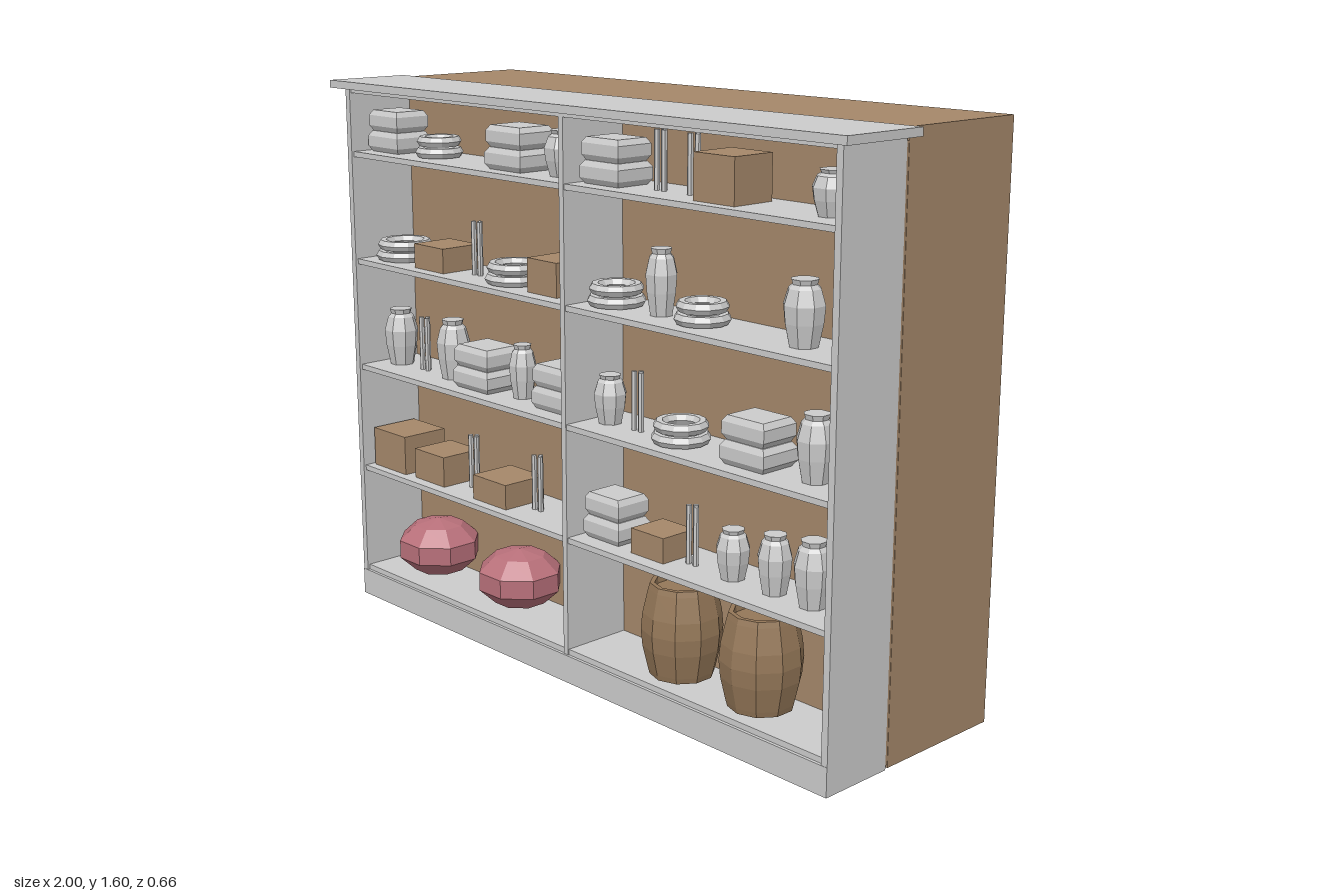
import * as THREE from 'three';

const mat = (color) => new THREE.MeshStandardMaterial({ color, flatShading: true });

export function createModel() {
  const root = new THREE.Group();
  root.name = 'stockedShelf';
  const grey = mat(0xcccccc), brown = mat(0xa5886a), barrelWood = mat(0x947758), red = mat(0xb8707a);
  const itemZ = 0.19;

  const add = (name, geo, material, x = 0, y = 0, z = 0, parent = root) => {
    const mesh = new THREE.Mesh(geo, material);
    mesh.name = name;
    mesh.position.set(x, y, z);
    parent.add(mesh);
    return mesh;
  };
  // Box given by its extents
  const board = (name, material, x0, x1, y0, y1, z0, z1) =>
    add(name, new THREE.BoxGeometry(x1 - x0, y1 - y0, z1 - z0), material,
      (x0 + x1) / 2, (y0 + y1) / 2, (z0 + z1) / 2);
  // Turned shape from [radius, height] pairs, scaled by r and h
  const turned = (pairs, sides, r, h, phase = 0) =>
    new THREE.LatheGeometry(pairs.map(([a, b]) => new THREE.Vector2(a * r, b * h)), sides, phase);

  // Rear block and back panel
  board('rearBlock', brown, -0.965, 0.965, 0.003, 1.6, -0.33, 0.07);
  board('backPanel', brown, -0.964, 0.964, 0.012, 1.568, 0.07, 0.085);

  // Case: sides, divider, plinth, top and crown
  for (const s of [-1, 1]) {
    board(s > 0 ? 'leftSide' : 'rightSide', grey, s * 0.955 - 0.01, s * 0.955 + 0.01, 0, 1.58, 0.078, 0.3);
  }
  board('divider', grey, -0.009, 0.009, 0.003, 1.566, 0.085, 0.295);
  board('plinth', grey, -0.965, 0.965, 0, 0.08, 0.285, 0.301);
  board('topBoard', grey, -0.945, 0.945, 1.566, 1.58, 0.085, 0.295);
  board('crown', grey, -1, 1, 1.58, 1.602, 0.065, 0.33);

  // Shelves, bottom to top
  const levels = [0.096, 0.422, 0.743, 1.07, 1.393];
  for (const y of levels) board('shelf', grey, -0.945, 0.945, y - 0.016, y, 0.085, 0.292);

  // Goods: each maker takes centre x, base y, width and height
  const makers = {
    jar(x, y, w, h) {
      const profile = [[0, 0], [0.72, 0], [0.95, 0.35], [1.03, 0.62], [0.8, 0.86], [0.6, 0.92], [0.68, 1], [0, 1]];
      add('jar', turned(profile, 8, w / 2, h, Math.PI / 8), grey, x, y, itemZ);
    },
    cloth(x, y, w, h) {
      const stack = new THREE.Group();
      stack.name = 'foldedClothStack';
      stack.position.set(x, y, itemZ);
      const profile = [[0, 0], [0.85, 0], [1, 0.25], [1, 0.75], [0.85, 1], [0, 1]];
      for (const i of [0, 1]) {
        const k = i ? 0.95 : 1;
        const slab = add('foldedCloth', turned(profile, 4, w * k * Math.SQRT1_2, h / 2, Math.PI / 4),
          grey, 0, i * h / 2, 0, stack);
        slab.scale.z = 0.82;
      }
      root.add(stack);
    },
    rings(x, y, w, h) {
      const tube = h / 4;
      for (const i of [0, 1]) {
        const geo = new THREE.TorusGeometry(w / 2 * (i ? 0.93 : 1) - tube, tube, 6, 12);
        add('ropeRing', geo.rotateX(Math.PI / 2), grey, x, y + tube * (1 + 2 * i), itemZ);
      }
    },
    candles(x, y, w, h) {
      const bundle = new THREE.Group();
      bundle.name = 'candleBundle';
      bundle.position.set(x, y + h / 2, itemZ);
      for (const [dx, dz] of [[-0.013, 0.004], [0.013, 0.004], [0, -0.009]]) {
        add('candle', new THREE.CylinderGeometry(0.008, 0.008, h, 6), grey, dx, 0, dz, bundle);
      }
      root.add(bundle);
    },
    box(x, y, w, h) {
      add('woodenBox', new THREE.BoxGeometry(w, h, w * 0.95), brown, x, y + h / 2, itemZ);
    },
    sack(x, y, w, h) {
      const geo = new THREE.SphereGeometry(0.5, 8, 5);
      const r = w / 0.951;
      geo.rotateY(Math.PI / 8).scale(r / Math.cos(Math.PI / 8) * 0.95, h, r);
      add('roundSack', geo, red, x, y + h / 2, itemZ);
    },
    barrel(x, y, w, h) {
      const profile = [[0, 0], [0.8, 0], [0.84, 0.06], [0.98, 0.32], [1.02, 0.5], [0.98, 0.68],
        [0.84, 0.94], [0.8, 1], [0.68, 1], [0.66, 0.93], [0, 0.93]];
      add('barrel', turned(profile, 10, w / 2, h), barrelWood, x, y, itemZ);
    },
  };

  // Contents per shelf: [kind, x, width, top height]
  const contents = [
    [['sack', -0.714, 0.245, 0.283], ['sack', -0.325, 0.245, 0.283],
      ['barrel', 0.353, 0.218, 0.364], ['barrel', 0.642, 0.218, 0.364]],
    [['box', -0.853, 0.158, 0.54], ['box', -0.663, 0.142, 0.513], ['candles', -0.527, 0, 0.583],
      ['box', -0.372, 0.15, 0.495], ['candles', -0.235, 0, 0.583], ['cloth', 0.096, 0.143, 0.55],
      ['box', 0.278, 0.123, 0.492], ['candles', 0.393, 0, 0.583], ['jar', 0.537, 0.09, 0.556],
      ['jar', 0.682, 0.09, 0.578], ['jar', 0.81, 0.1, 0.594]],
    [['jar', -0.877, 0.1, 0.914], ['candles', -0.754, 0, 0.904], ['jar', -0.618, 0.098, 0.92],
      ['cloth', -0.457, 0.16, 0.87], ['jar', -0.297, 0.078, 0.898], ['cloth', -0.126, 0.135, 0.87],
      ['jar', 0.072, 0.09, 0.877], ['candles', 0.184, 0, 0.904], ['rings', 0.345, 0.16, 0.808],
      ['cloth', 0.62, 0.152, 0.87], ['jar', 0.81, 0.1, 0.914]],
    [['rings', -0.843, 0.175, 1.134], ['box', -0.64, 0.137, 1.142], ['candles', -0.49, 0, 1.225],
      ['rings', -0.323, 0.175, 1.134], ['box', -0.139, 0.123, 1.166], ['rings', 0.099, 0.16, 1.134],
      ['jar', 0.27, 0.085, 1.246], ['rings', 0.42, 0.15, 1.134], ['jar', 0.762, 0.105, 1.235]],
    [['cloth', -0.857, 0.145, 1.515], ['rings', -0.66, 0.14, 1.457], ['cloth', -0.294, 0.155, 1.515],
      ['jar', -0.11, 0.107, 1.517], ['cloth', 0.099, 0.15, 1.515], ['candles', 0.27, 0, 1.548],
      ['candles', 0.39, 0, 1.548], ['box', 0.52, 0.14, 1.513], ['jar', 0.842, 0.1, 1.503]],
  ];
  contents.forEach((row, i) => {
    for (const [kind, x, w, top] of row) {
      const base = levels[i] + (i === 0 ? 0.011 : 0);
      makers[kind](x, base, w, top - base);
    }
  });

  return root;
}
